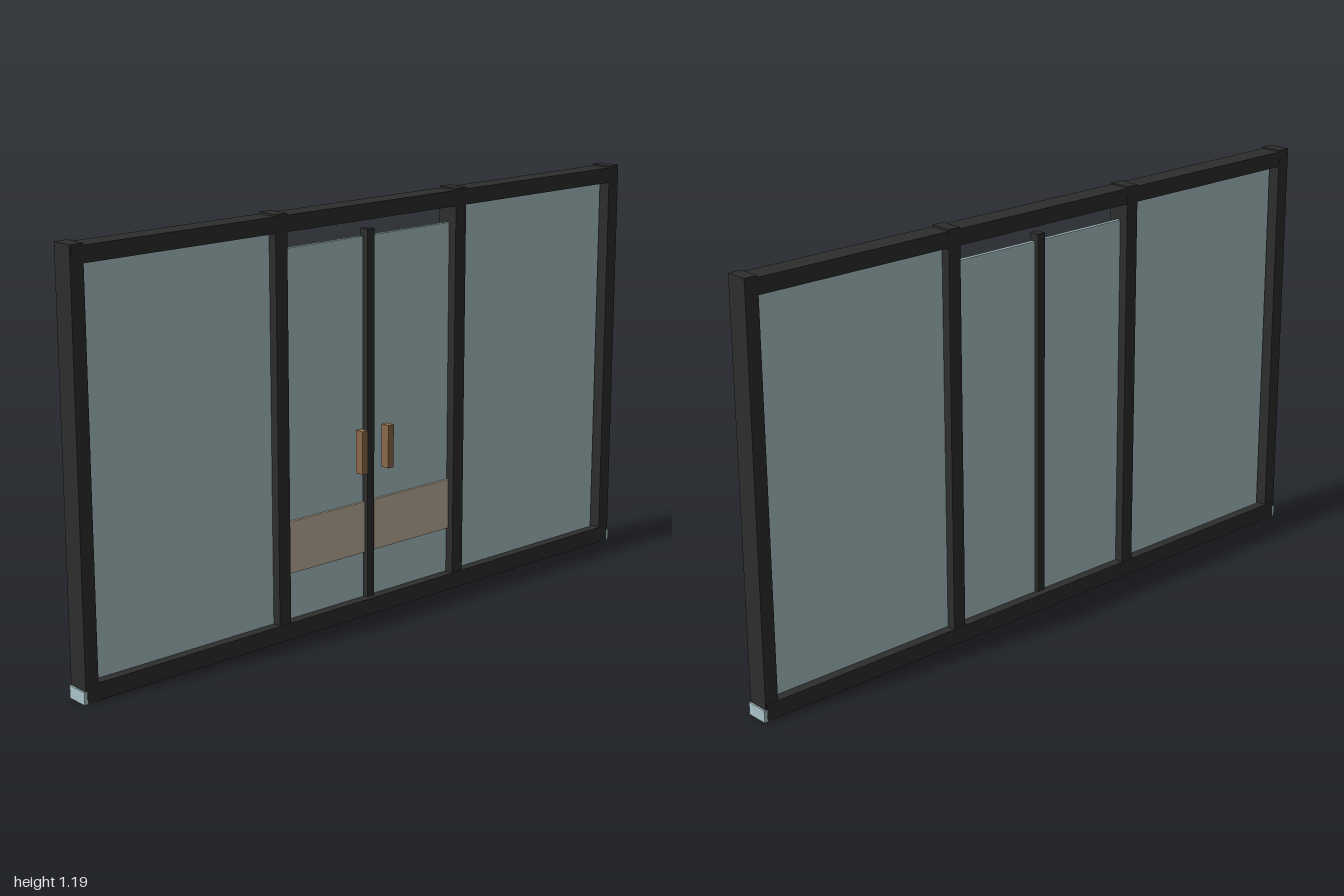
import * as THREE from 'three';

const mat = (name, color) => {
  const m = new THREE.MeshStandardMaterial({ color });
  m.name = name;
  return m;
};

export function createModel() {
  const frame = mat('charcoal frame', 0x2d2d2d);
  const glass = mat('pale blue glass', 0xa9c4c8);
  const band = mat('tan band', 0xc6b59f);
  const wood = mat('brown handle', 0x8b6a4a);
  const model = new THREE.Group();
  model.name = 'slidingDoorWall';

  // Box given by its limits on each axis
  const box = (name, material, [x0, x1], [y0, y1], [z0, z1]) => {
    const mesh = new THREE.Mesh(new THREE.BoxGeometry(Math.abs(x1 - x0), y1 - y0, z1 - z0), material);
    mesh.position.set((x0 + x1) / 2, (y0 + y1) / 2, (z0 + z1) / 2);
    mesh.name = name;
    model.add(mesh);
  };

  const depth = [-0.041, 0.025];

  // Horizontal rails
  box('bottomRail', frame, [-0.99, 0.99], [0.002, 0.05], [-0.042, 0.026]);
  box('topRail', frame, [-0.99, 0.99], [1.145, 1.19], [-0.04, 0.026]);

  // Mirrored halves: +x is the model's left
  for (const [s, side] of [[1, 'left'], [-1, 'right']]) {
    const span = (a, b) => [s * a, s * b];

    // Posts, mullions and end feet
    box(side + 'Post', frame, span(0.955, 0.995), [0.035, 1.195], depth);
    box(side + 'Mullion', frame, span(0.31, 0.35), [0.04, 1.195], depth);
    box(side + 'Foot', glass, span(0.965, 1), [0, 0.035], depth);

    // Fixed side pane and door leaf
    box(side + 'FixedPane', glass, span(0.35, 0.945), [0.045, 1.147], [-0.014, -0.002]);
    box(side + 'DoorPane', glass, span(0.018, 0.312), [0.045, 1.095], [-0.014, -0.002]);
    box(side + 'DoorStile', frame, span(0, 0.013), [0.045, 1.115], [-0.02, 0.01]);

    // Door band and pull handle
    box(side + 'DoorBand', band, span(0.018, 0.31), [0.185, 0.335], [-0.002, 0.005]);
    box(side + 'Handle', wood, span(0.038, 0.059), [0.43, 0.555], [0.013, 0.041]);
  }
  return model;
}
